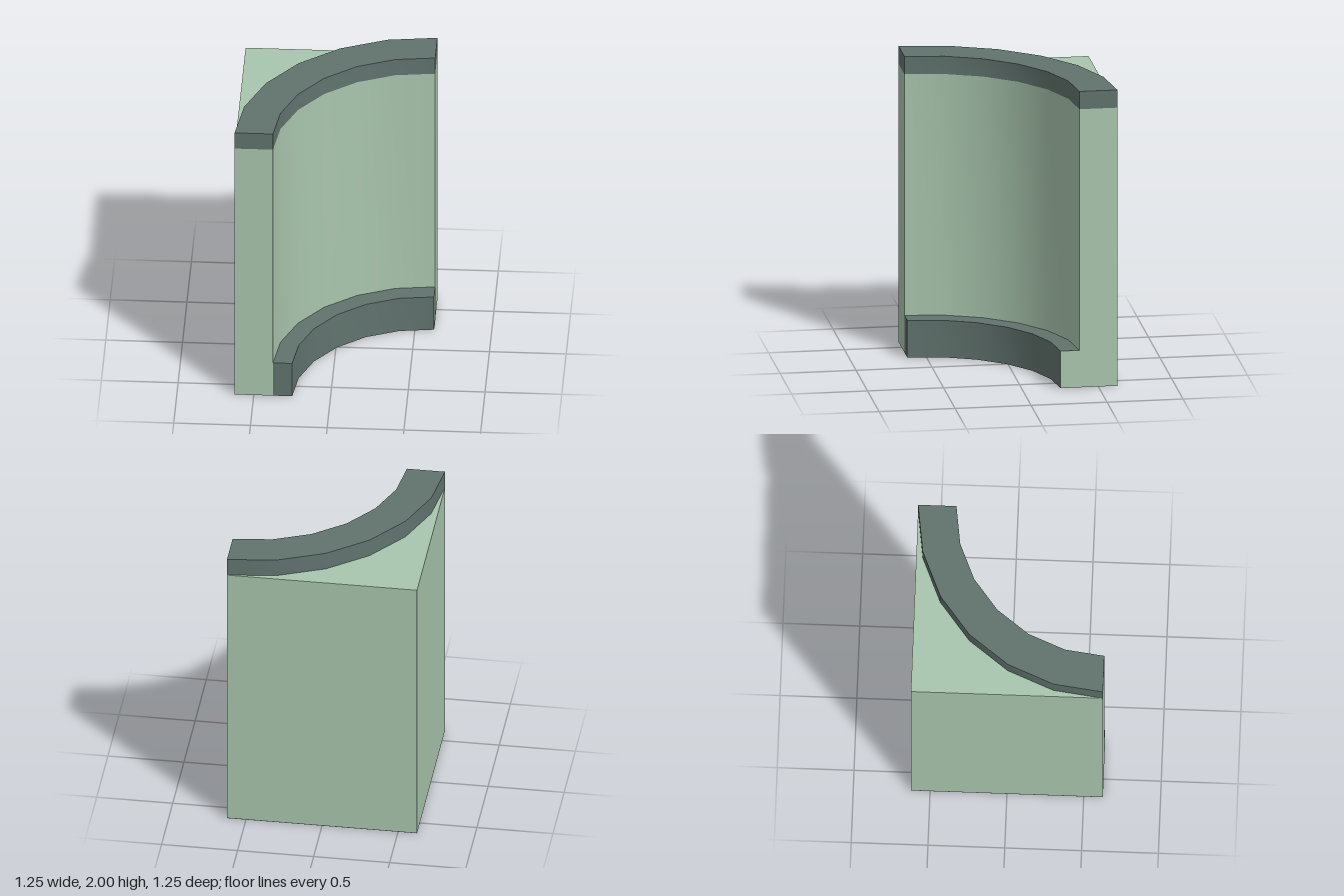
import * as THREE from 'three';
import { toCreasedNormals } from 'three/addons/utils/BufferGeometryUtils.js';

const HALF = 0.625; // half the width of the square footprint
const SEGMENTS = 6;

const wallMaterial = new THREE.MeshStandardMaterial({ color: 0xa9c6ae });
const trimMaterial = new THREE.MeshStandardMaterial({ color: 0x61736e });

// Quarter arc about the front +x corner, in plan (x, -z), from the +x end to the front end
function arc(radius) {
  return Array.from({ length: SEGMENTS + 1 }, (_, i) => {
    const a = Math.PI / 2 * (1 + i / SEGMENTS);
    return new THREE.Vector2(HALF + radius * Math.cos(a), -HALF + radius * Math.sin(a));
  });
}

function ring(inner, outer) {
  return new THREE.Shape([...arc(outer), ...arc(inner).reverse()]);
}

// Square back corner left outside an arc
function corner(radius) {
  const p = [...arc(radius), new THREE.Vector2(-HALF, -HALF),
    new THREE.Vector2(-HALF, HALF), new THREE.Vector2(HALF, HALF)];
  // drop neighbours that coincide where the arc already reaches the footprint
  return new THREE.Shape(p.filter((v, i) => v.distanceTo(p[(i + 1) % p.length]) > 1e-4));
}

// Extrude a plan shape upward from y0 to y1, smooth along the curve
function slab(name, shape, y0, y1, material) {
  const extruded = new THREE.ExtrudeGeometry(shape, { depth: y1 - y0, bevelEnabled: false });
  extruded.rotateX(-Math.PI / 2).translate(0, y0, 0);
  const mesh = new THREE.Mesh(toCreasedNormals(extruded, 0.5), material);
  mesh.name = name;
  return mesh;
}

export function createModel() {
  const group = new THREE.Group();
  group.name = 'curvedCornerWall';

  // Wall with a concave face and a square back, topped by a curved rail
  group.add(slab('wall', corner(1), 0, 1.88, wallMaterial));
  group.add(slab('topRail', ring(1, 1.25), 1.88, 2, trimMaterial));
  group.add(slab('baseboard', ring(0.875, 1), 0, 0.25, trimMaterial));

  // Wall-coloured end of the baseboard on the +x side
  const end = new THREE.Mesh(new THREE.PlaneGeometry(0.125, 0.25), wallMaterial);
  end.name = 'baseboardEnd';
  end.rotation.y = Math.PI / 2;
  end.position.set(HALF + 0.001, 0.125, -0.3125);
  group.add(end);

  // Dark underside of the back corner
  const underside = new THREE.Mesh(new THREE.ShapeGeometry(corner(1.25)),
    new THREE.MeshStandardMaterial({ color: 0x61736e, side: THREE.DoubleSide }));
  underside.name = 'cornerUnderside';
  underside.rotation.x = -Math.PI / 2;
  underside.position.y = -0.001;
  group.add(underside);

  return group;
}
